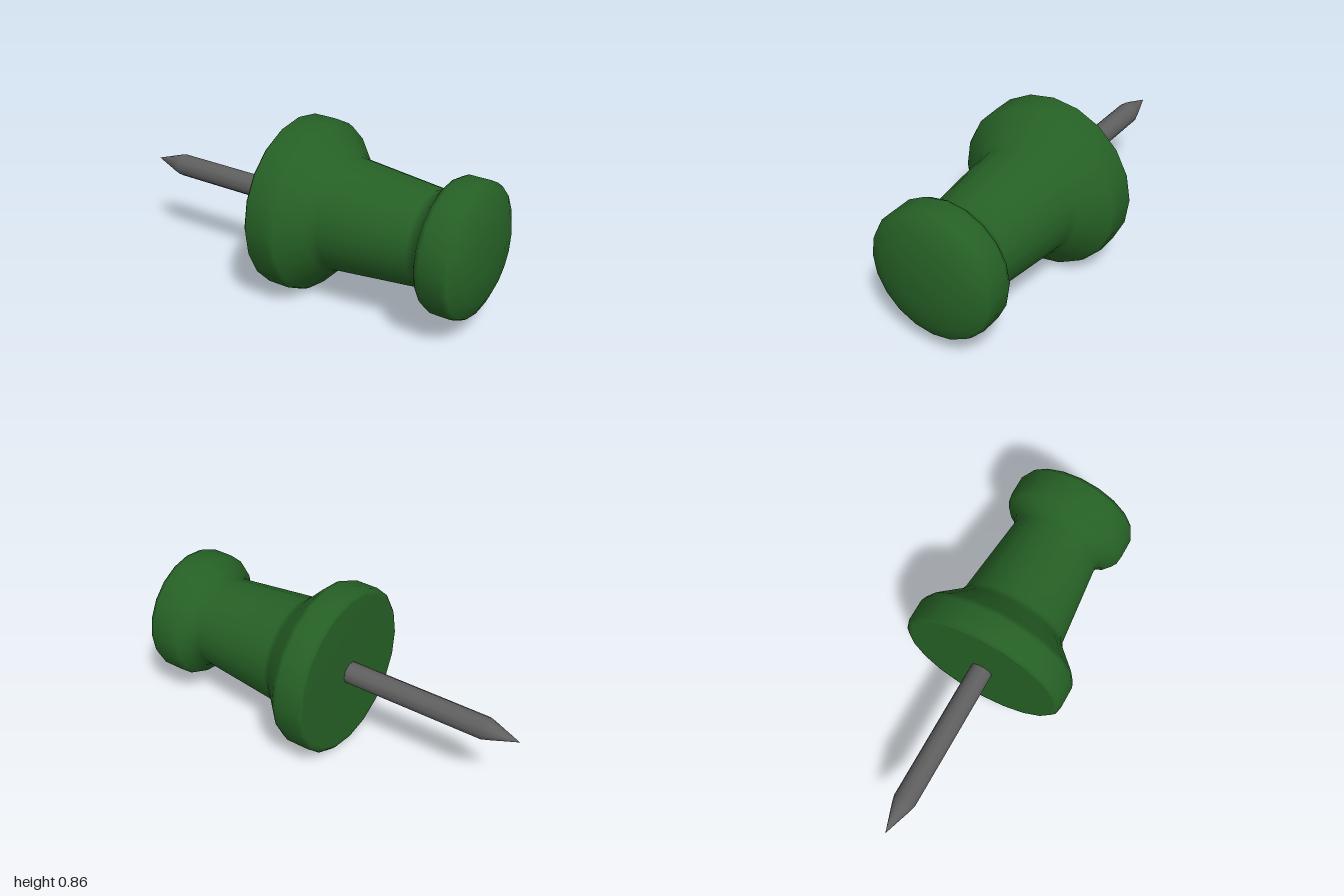
import * as THREE from 'three';

const AXIS_Y = 0.434;

// Revolves [z, radius] pairs, listed from back to front, around the z axis.
function turned(name, profile, sides, material, phase = 0) {
  const points = profile.map(([z, r]) => new THREE.Vector2(r, z));
  const geometry = new THREE.LatheGeometry(points, sides, phase);
  geometry.rotateX(Math.PI / 2);
  const mesh = new THREE.Mesh(geometry, material);
  mesh.name = name;
  mesh.position.y = AXIS_Y;
  return mesh;
}

export function createModel() {
  const green = new THREE.MeshStandardMaterial({ color: 0x266126 });
  green.name = 'green plastic';
  const steel = new THREE.MeshStandardMaterial({ color: 0x606060 });
  steel.name = 'grey steel';

  const model = new THREE.Group();
  model.name = 'pushPin';

  // Grip: wide collar at the back, tapered waist, domed knob at the front
  model.add(turned('grip', [
    [-0.08, 0], [-0.08, 0.4], [-0.079, 0.415], [-0.063, 0.432],
    [0.055, 0.432], [0.085, 0.42], [0.2, 0.303], [0.24, 0.282],
    [0.69, 0.237], [0.74, 0.26], [0.775, 0.312], [0.805, 0.328],
    [0.91, 0.328], [0.937, 0.315], [0.973, 0.24], [1, 0.12], [1, 0],
  ], 20, green));

  // Needle: straight shaft with a ground point, rooted inside the collar
  model.add(turned('needle', [
    [-1, 0], [-0.86, 0.047], [-0.825, 0.057], [-0.07, 0.057],
  ], 10, steel, Math.PI / 2));

  return model;
}
